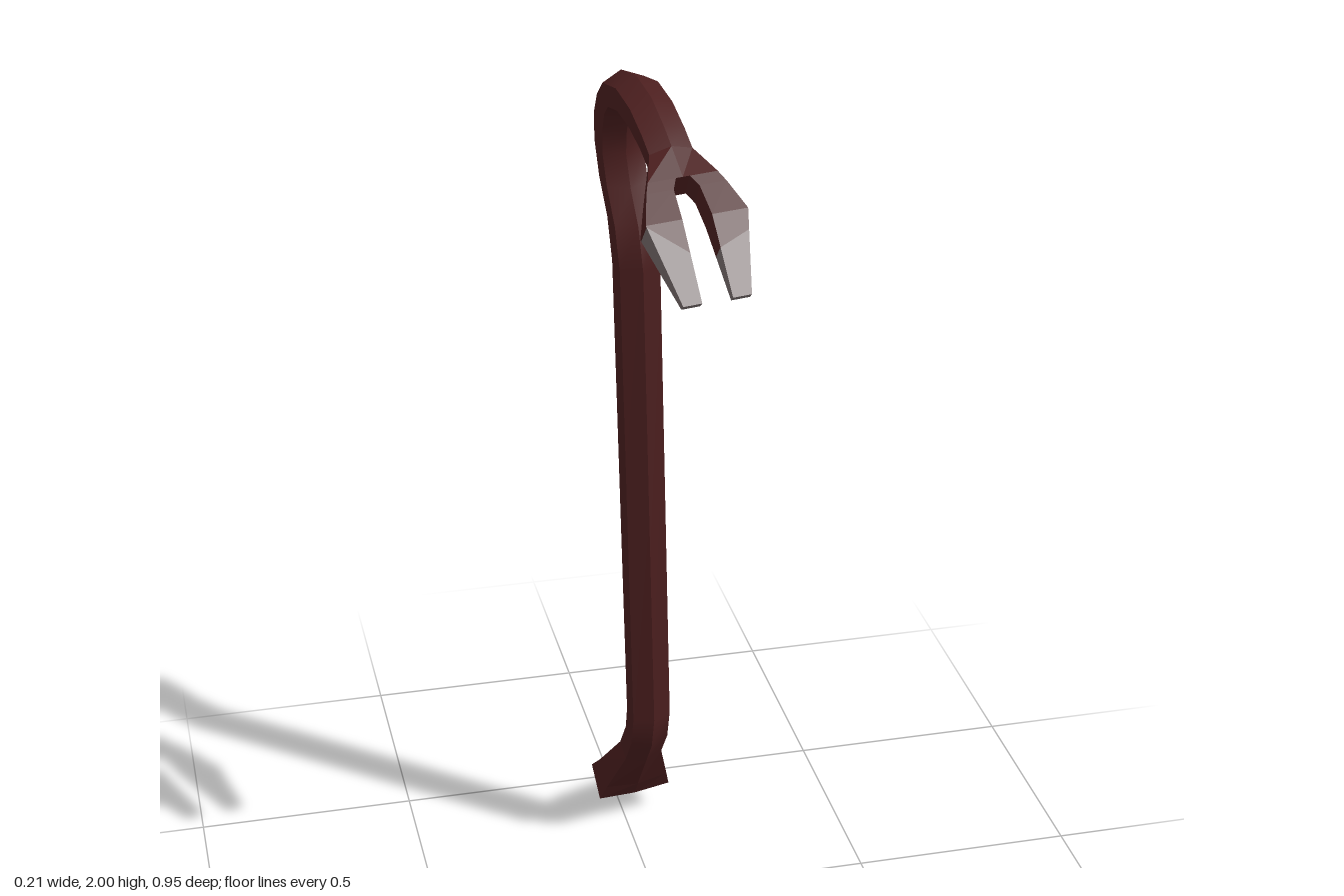
import * as THREE from 'three';

// The bar bends within one slightly leaning plane; N is the sideways direction.
const N = new THREE.Vector3(1, 0.053, -0.1).normalize();
const place = (x, y, z) =>
  new THREE.Vector3(0.056 - 0.053 * y + 0.1 * z, y, z).addScaledVector(N, x);

// Ring between an outer and an inner point of the side profile.
// section: [sideways offset, -1 (inner) .. 1 (outer)]
function ring([zo, yo, zi, yi], section) {
  return section.map(([x, v]) => {
    const t = (v + 1) / 2;
    return place(x, yi + (yo - yi) * t, zi + (zo - zi) * t);
  });
}
const hex = (w, s) => [[w, -s], [w, s], [0, 1], [-w, s], [-w, -s], [0, -1]];
const box = (a, b) => [[b, -1], [b, 1], [a, 1], [a, -1]];

// Skin over rings with sharp long edges; keep(segment, facet) chooses the faces,
// smooth rounds the shading along the length.
function loft(rings, { keep = () => true, start = false, end = false, smooth = false }) {
  const pos = [], index = [];
  const push = p => pos.push(p.x, p.y, p.z) / 3 - 1;
  const n = rings[0].length;
  for (let i = 0; i < n; i++) {
    const strip = rings.map(r => [push(r[i]), push(r[(i + 1) % n])]);
    for (let r = 0; r < rings.length - 1; r++) {
      if (!keep(r, i)) continue;
      const [a, b] = strip[r], [d, c] = strip[r + 1];
      index.push(a, b, c, a, c, d);
    }
  }
  const first = rings[0].map(push), last = rings[rings.length - 1].map(push);
  for (let i = 1; i < n - 1; i++) {
    if (start) index.push(first[0], first[i + 1], first[i]);
    if (end) index.push(last[0], last[i], last[i + 1]);
  }
  let g = new THREE.BufferGeometry();
  g.setAttribute('position', new THREE.Float32BufferAttribute(pos, 3));
  g.setIndex(index);
  if (!smooth) g = g.toNonIndexed();
  g.computeVertexNormals();
  return g;
}

export function createModel() {
  const paint = new THREE.MeshStandardMaterial({ color: 0x4c1f1f });
  paint.name = 'dark red paint';
  const steel = new THREE.MeshStandardMaterial({ color: 0x7b7070 });
  steel.name = 'bare steel';

  const group = new THREE.Group();
  group.name = 'crowbar';
  const add = (name, geometry, material) => {
    const m = new THREE.Mesh(geometry, material);
    m.name = name;
    group.add(m);
  };

  // Chisel blade: outer z, y, inner z, y, half width, squareness
  const bladeRings = [
    [-0.47, 0.024, -0.457, 0.003, 0.03, 1],
    [-0.425, 0.075, -0.405, 0.028, 0.05, 0.97],
    [-0.36, 0.15, -0.305, 0.075, 0.087, 0.9],
    [-0.33, 0.185, -0.275, 0.12, 0.075, 0.8],
    [-0.262, 0.28, -0.195, 0.233, 0.044, 0.55],
  ].map(([a, b, c, d, w, s]) => ring([a, b, c, d], hex(w, s)));
  // Worn metal reaches further up the top of the blade than its underside
  const worn = (r, i) => r === 0 || (r === 1 && i < 4) || (r === 2 && (i === 1 || i === 2));
  add('bladeEdge', loft(bladeRings, { keep: worn, start: true }), steel);
  add('bladeNeck', loft(bladeRings, { keep: (r, i) => !worn(r, i) }), paint);

  // Shaft and hook
  const shaftRings = [
    [-0.262, 0.28, -0.195, 0.233],
    [-0.207, 0.355, -0.14, 0.31],
    [-0.19, 0.41, -0.107, 0.4],
    [-0.08, 1.575, 0.01, 1.565],
    [-0.095, 1.67, -0.005, 1.66],
    [-0.135, 1.745, -0.042, 1.73],
    [-0.152, 1.82, -0.06, 1.8],
    [-0.142, 1.887, -0.047, 1.85],
    [-0.109, 1.938, -0.032, 1.885],
    [-0.06, 1.98, -0.01, 1.905],
    [0.04, 2.0, 0.04, 1.915],
    [0.13, 1.985, 0.11, 1.907],
    [0.2, 1.95, 0.17, 1.89],
    [0.24, 1.924, 0.215, 1.867],
  ].map(p => ring(p, hex(0.044, 0.55)));
  add('shaftAndHook', loft(shaftRings, { smooth: true }), paint);

  // Flared root of the claw, closed by the end of the notch
  const root = [0.3, 1.883, 0.27, 1.835];
  add('clawRoot', loft([
    ring([0.24, 1.924, 0.215, 1.867], hex(0.044, 0.55)),
    ring(root, hex(0.071, 1)),
  ], { end: true }), paint);

  // Two tines: side profile, inner and outer offset
  const tine = [
    [root, 0.014, 0.071],
    [[0.32, 1.869, 0.29, 1.82], 0.026, 0.081],
    [[0.375, 1.83, 0.335, 1.785], 0.03, 0.103],
    [[0.473, 1.697, 0.46, 1.686], 0.031, 0.069],
  ];
  // Where the paint ends, as shares of the tip length at the +x and -x edge
  for (const [side, name, wear] of [[1, 'left', [0.25, 0.4]], [-1, 'right', [0.4, 0.02]]]) {
    const rings = tine.map(([p, a, b]) => ring(p, side > 0 ? box(a, b) : box(-b, -a)));
    const [shoulder, tip] = rings.slice(2);
    const edge = shoulder.map((p, i) => p.clone().lerp(tip[i], wear[i < 2 ? 0 : 1]));
    add(name + 'Tine', loft([...rings.slice(0, 3), edge], {}), paint);
    add(name + 'TineTip', loft([edge, tip], { end: true }), steel);
  }
  return group;
}
